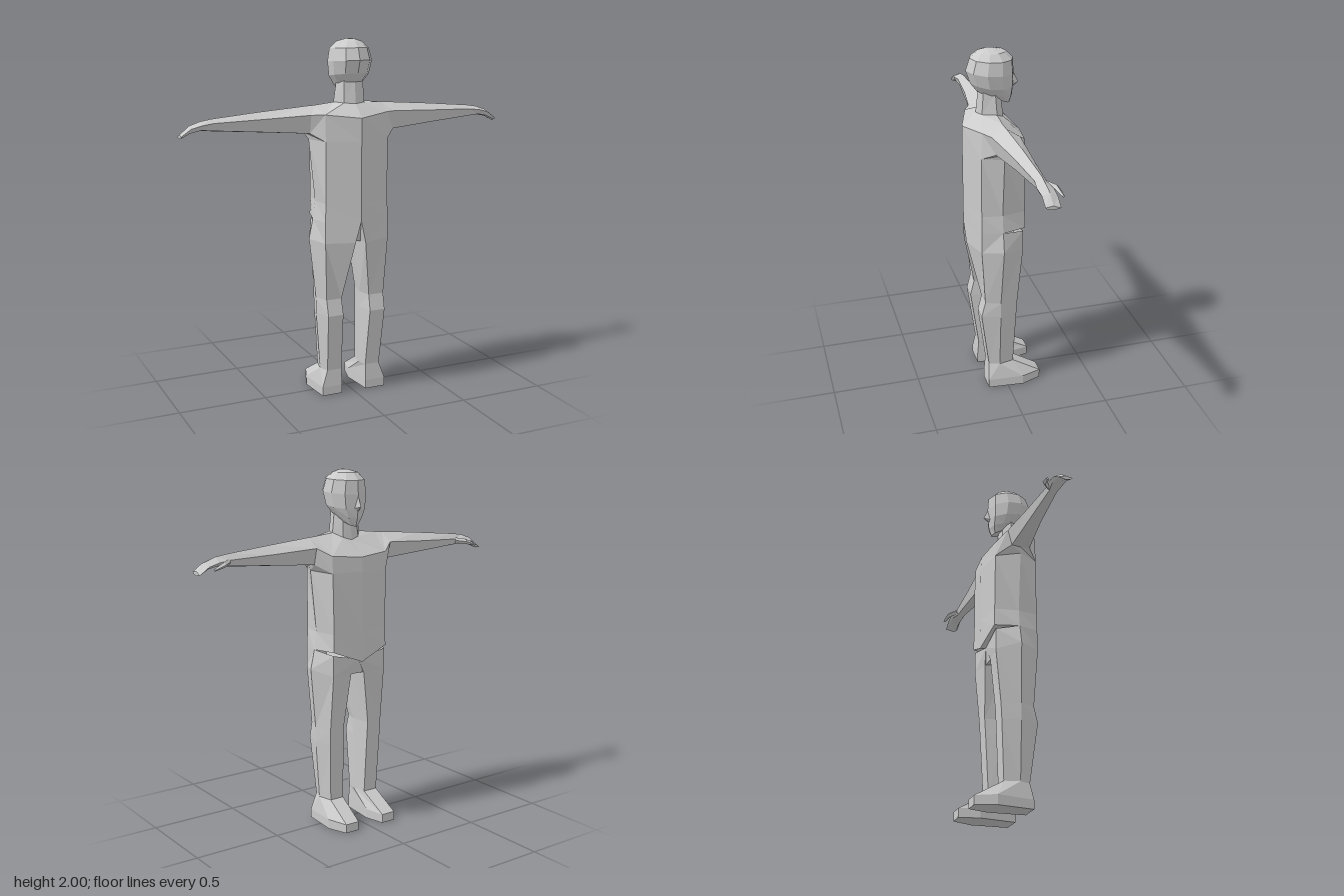
import * as THREE from 'three';

const material = new THREE.MeshStandardMaterial({ color: 0xcccccc, flatShading: true, side: THREE.DoubleSide });

// Skin a list of equal-length closed rings, with end caps; faces are turned outward.
function loft(rings, capStart = true, capEnd = true) {
  const tris = [], n = rings[0].length;
  const cap = (ring, flip) => {
    for (let i = 1; i < n - 1; i++) {
      tris.push(flip ? [ring[0], ring[i + 1], ring[i]] : [ring[0], ring[i], ring[i + 1]]);
    }
  };
  for (let r = 0; r < rings.length - 1; r++) {
    const a = rings[r], b = rings[r + 1];
    for (let i = 0; i < n; i++) {
      const j = (i + 1) % n;
      tris.push([a[i], a[j], b[j]], [a[i], b[j], b[i]]);
    }
  }
  if (capStart) cap(rings[0], true);
  if (capEnd) cap(rings[rings.length - 1], false);

  const points = rings.flat().map((p) => new THREE.Vector3(...p));
  const centre = points.reduce((s, p) => s.add(p), new THREE.Vector3()).divideScalar(points.length);
  let volume = 0;
  for (const t of tris) {
    const [a, b, c] = t.map((p) => new THREE.Vector3(...p).sub(centre));
    volume += a.dot(b.cross(c));
  }
  if (volume < 0) tris.forEach((t) => t.reverse());

  const geometry = new THREE.BufferGeometry();
  geometry.setAttribute('position', new THREE.Float32BufferAttribute(tris.flat(2), 3));
  geometry.computeVertexNormals();
  return geometry;
}

const flipX = ([x, y, z]) => [-x, y, z];

// Complete a half ring (centre back to centre front) to a symmetric one.
const whole = (half) => [...half, ...half.slice(1, -1).reverse().map(flipX)];

export function createModel() {
  const model = new THREE.Group();
  model.name = 'figure';

  const add = (name, rings, start, end) => {
    const mesh = new THREE.Mesh(loft(rings, start, end), material);
    mesh.name = name;
    model.add(mesh);
  };
  const addPair = (name, rings, start, end) => {
    add(name + 'PlusX', rings, start, end);
    add(name + 'MinusX', rings.map((r) => r.map(flipX)), start, end);
  };

  // Torso: centre back, back, side, front, centre front
  const neckBase = [[0, 1.655, 0.13], [0.06, 1.66, 0.11], [0.09, 1.66, 0.035], [0.05, 1.635, -0.01], [0, 1.62, -0.02]];
  const shoulder = [[0, 1.585, 0.206], [0.185, 1.605, 0.143], [0.2, 1.648, 0.035], [0.18, 1.55, -0.09], [0, 1.535, -0.115]];
  const chest = [[0, 1.46, 0.206], [0.185, 1.46, 0.148], [0.238, 1.465, 0.035], [0.18, 1.455, -0.095], [0, 1.455, -0.12]];
  const waist = [[0, 1.12, 0.206], [0.185, 1.12, 0.148], [0.202, 1.12, 0.035], [0.175, 1.12, -0.097], [0, 1.12, -0.12]];
  const hip = [[0, 1.02, 0.206], [0.19, 1.02, 0.148], [0.216, 1.02, 0.035], [0.178, 1.02, -0.1], [0, 0.95, -0.12]];
  add('torso', [neckBase, shoulder, chest, waist, hip].map(whole), false, true);

  // Neck
  add('neck', [
    whole(neckBase),
    whole([[0, 1.79, 0.115], [0.055, 1.785, 0.1], [0.075, 1.775, 0.04], [0.045, 1.73, 0], [0, 1.715, -0.01]]),
  ], false, true);

  // Head: height at face, height at back, half width, z of face, z of back
  const headRing = ([yFace, yBack, w, zFace, zBack]) => {
    const ring = [];
    for (let i = 0; i < 10; i++) {
      const a = (i / 10) * Math.PI * 2, t = (1 + Math.cos(a)) / 2;
      const x = w * Math.sin(a) / Math.sin(Math.PI * 0.4);
      ring.push([x, THREE.MathUtils.lerp(yFace, yBack, t), THREE.MathUtils.lerp(zFace, zBack, t)]);
    }
    return ring;
  };
  add('head', [
    [2.0, 2.0, 0.02, 0.03, 0.08],
    [1.985, 1.985, 0.065, -0.035, 0.12],
    [1.945, 1.955, 0.1, -0.075, 0.16],
    [1.87, 1.89, 0.114, -0.08, 0.182],
    [1.79, 1.82, 0.103, -0.077, 0.158],
    [1.74, 1.775, 0.072, -0.072, 0.125],
    [1.695, 1.765, 0.042, -0.058, 0.1],
  ].map(headRing));

  // Nose
  add('nose', [
    [[0, 1.865, -0.078], [0, 1.865, -0.078], [0, 1.865, -0.07]],
    [[0.018, 1.795, -0.07], [0, 1.805, -0.106], [-0.018, 1.795, -0.07]],
    [[0.01, 1.78, -0.07], [0, 1.785, -0.08], [-0.01, 1.78, -0.07]],
  ]);

  // Arm: ridge, back, lower back, underside, lower front, front
  const armRing = (x, top, mid, low, zMid, zBack, zFront) => [
    [x, top, zMid], [x, mid, zBack],
    [x, low + 0.005, zMid + (zBack - zMid) * 0.7], [x, low, zMid],
    [x, low + 0.005, zMid + (zFront - zMid) * 0.7], [x, mid - 0.01, zFront],
  ];
  const armRoot = [shoulder[2], shoulder[1], chest[1], chest[2], chest[3], shoulder[3]];
  addPair('arm', [
    armRoot,
    armRing(0.25, 1.645, 1.603, 1.497, 0.032, 0.107, -0.045),
    armRing(0.5, 1.625, 1.59, 1.515, 0.017, 0.067, -0.032),
    armRing(0.77, 1.6, 1.58, 1.535, 0.006, 0.042, -0.02),
  ], false, false);

  // Hand
  addPair('hand', [
    armRing(0.77, 1.6, 1.58, 1.535, 0.006, 0.042, -0.02),
    armRing(0.835, 1.59, 1.573, 1.542, 0.008, 0.052, -0.033),
    armRing(0.893, 1.57, 1.557, 1.53, 0.006, 0.045, -0.035),
    armRing(0.946, 1.526, 1.52, 1.504, 0.004, 0.043, -0.035),
  ], false, true);

  // Thumb
  const thumbRing = (x, y, z, r) => [[x, y + r, z], [x, y, z + r], [x, y - r, z], [x, y, z - r]];
  addPair('thumb', [
    thumbRing(0.765, 1.562, -0.01, 0.016),
    thumbRing(0.815, 1.555, -0.052, 0.015),
    thumbRing(0.88, 1.535, -0.067, 0.007),
  ]);

  // Leg: outer, back outer, back inner, inner, front inner, front outer
  const legRing = (y, xOut, xIn, zMid, zBack, zFront, inset = 0.03) => [
    [xOut, y, zMid], [xOut - inset, y, zBack], [xIn + inset * 0.7, y, zBack],
    [xIn, y, zMid], [xIn + inset * 0.7, y, zFront], [xOut - inset, y, zFront],
  ];
  const ankle = legRing(0.145, 0.182, 0.062, 0.045, 0.105, -0.04, 0.02);
  addPair('leg', [
    [hip[2], hip[1], hip[0], [0, 1.0, 0.04], [0, 0.96, -0.085], [0.175, 1.0, -0.09]],
    [[0.24, 0.91, 0.036], [0.19, 0.9, 0.15], [0.03, 0.9, 0.198], [0.03, 0.885, 0.05], [0.045, 0.87, -0.075], [0.175, 0.88, -0.09]],
    legRing(0.57, 0.205, 0.064, 0.045, 0.128, -0.06),
    legRing(0.48, 0.204, 0.062, 0.045, 0.15, -0.055),
    ankle,
  ], false, false);

  // Crotch bridge between the thighs
  add('crotch', [
    [[0, 1.02, 0.2], [0, 1.02, 0.2], [0, 0.96, -0.085], [0, 0.96, -0.085]],
    [[0.032, 0.89, 0.13], [-0.032, 0.89, 0.13], [-0.044, 0.875, -0.07], [0.044, 0.875, -0.07]],
  ]);

  // Foot: sloping instep down to a flat sole
  const soleRing = (side, heel, toe) => [
    [0.212, side, -0.09], [0.195, heel, 0.114], [0.075, heel, 0.114],
    [0.056, side, -0.09], [0.085, toe, -0.203], [0.17, toe, -0.203],
  ];
  addPair('foot', [ankle, soleRing(0.055, 0.05, 0.05), soleRing(0, 0, 0)], false, true);

  return model;
}
